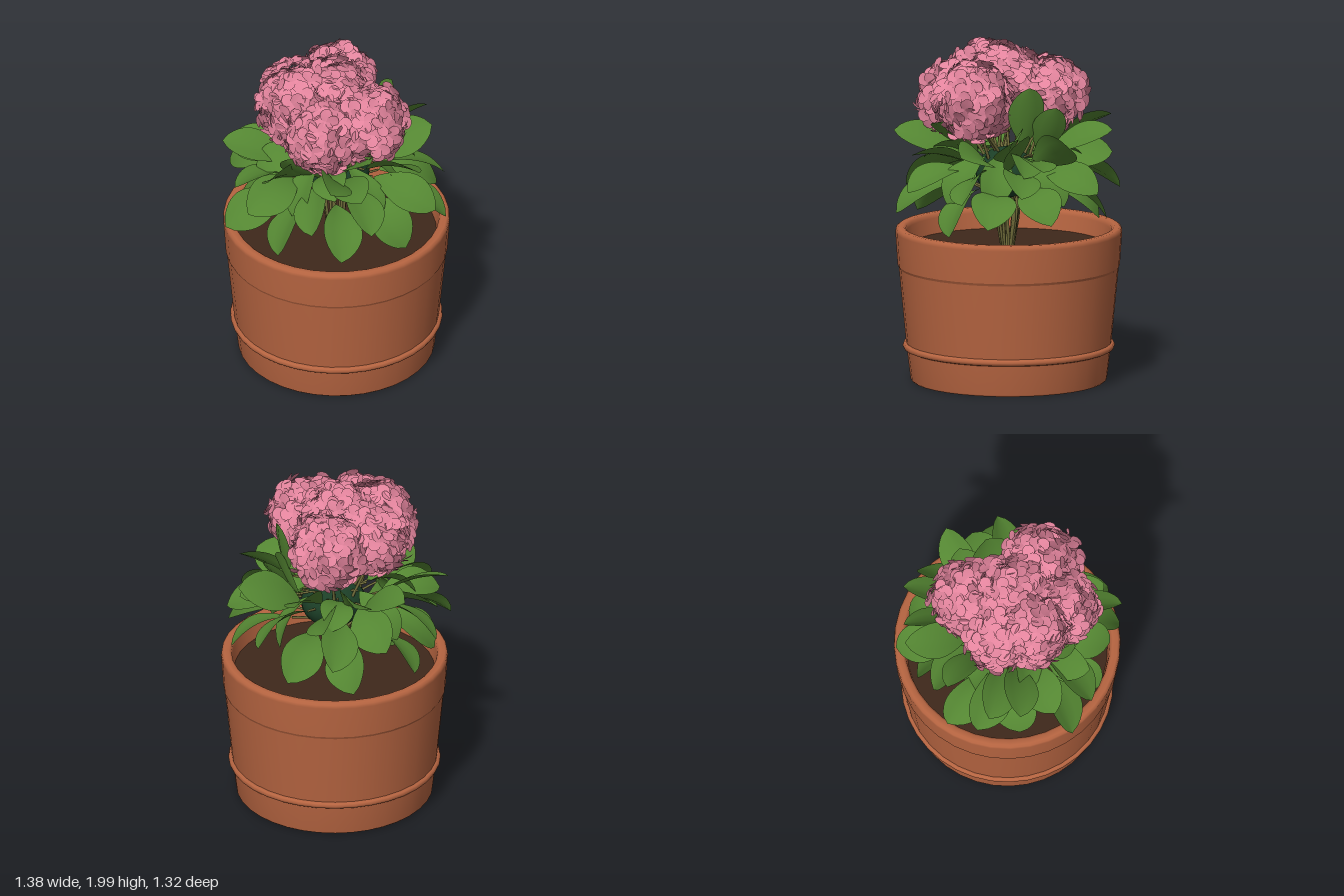
import * as THREE from 'three';
import { mergeGeometries } from 'three/addons/utils/BufferGeometryUtils.js';

const V = (x, y, z) => new THREE.Vector3(x, y, z);

function mat(name, color, double = false) {
  const m = new THREE.MeshStandardMaterial({ color });
  m.name = name;
  if (double) m.side = THREE.DoubleSide;
  return m;
}

// Small seeded generator, 0..1
function seeded(seed) {
  return () => {
    seed = (seed * 1664525 + 1013904223) % 4294967296;
    return seed / 4294967296;
  };
}

// Grid surface from a rule f(u, v), u along, v across -1..1
function surface(nu, nv, f) {
  const pos = [], idx = [];
  for (let i = 0; i <= nu; i++) {
    for (let j = 0; j <= nv; j++) pos.push(...f(i / nu, (j / nv) * 2 - 1).toArray());
  }
  for (let i = 0; i < nu; i++) {
    for (let j = 0; j < nv; j++) {
      const a = i * (nv + 1) + j, b = a + nv + 1;
      idx.push(a, a + 1, b, b, a + 1, b + 1);
    }
  }
  const g = new THREE.BufferGeometry();
  g.setAttribute('position', new THREE.Float32BufferAttribute(pos, 3));
  g.setIndex(idx);
  g.computeVertexNormals();
  return g;
}

// Leaf blade from base to tip, broadest past the middle, arched and lightly folded
function leafGeometry(base, tip, width, roll, arch) {
  const dir = tip.clone().sub(base), len = dir.length();
  dir.normalize();
  const out = V(tip.x, 0, tip.z).normalize();
  const side = V(out.z, 0, -out.x).applyAxisAngle(dir, roll);
  const up = dir.clone().cross(side).normalize();
  return surface(16, 4, (u, v) => {
    const bulge = Math.max(0, Math.sin(Math.PI * Math.pow(u, 1.35)));
    const w = width * 0.5 * Math.pow(bulge, 0.66);
    const lift = arch * len * 4 * u * (1 - u) + Math.abs(v) * w * 0.2;
    return base.clone().addScaledVector(dir, u * len)
      .addScaledVector(side, v * w).addScaledVector(up, lift);
  });
}

// Four broad petals lying in xy and facing +z
function floretGeometry() {
  const petals = [];
  for (let k = 0; k < 4; k++) {
    const g = new THREE.CircleGeometry(0.038, 10);
    const p = g.attributes.position;
    for (let i = 0; i < p.count; i++) {
      const x = p.getX(i) + 0.038, y = p.getY(i);
      p.setXYZ(i, x, y, 0.008 - x * x * 1.5 + y * y * 2.5 + y * 0.2);
    }
    g.computeVertexNormals();
    petals.push(g.rotateZ((k * Math.PI) / 2));
  }
  return mergeGeometries(petals);
}

export function createModel() {
  const root = new THREE.Group();
  const terracotta = mat('terracotta', 0xb76541);
  const soilMat = mat('soil brown', 0x3f281b);
  const leafMat = mat('leaf green', 0x548632, true);
  const coreMat = mat('deep green', 0x1c3f27);
  const stemMat = mat('stem olive', 0x736f3c);
  const petalMat = mat('petal pink', 0xe3849d, true);
  const rnd = seeded(17);
  const add = (name, geo, m, x = 0, y = 0, z = 0) => {
    const mesh = new THREE.Mesh(geo, m);
    mesh.name = name;
    mesh.position.set(x, y, z);
    root.add(mesh);
  };

  // Pot, offset slightly so the whole plant is centred
  const cx = 0.03;
  const profile = [
    [0, 0.005], [0.56, 0.005], [0.57, 0.015], [0.594, 0.21], [0.638, 0.67], [0.64, 0.675],
    [0.645, 0.685], [0.658, 0.88], [0.655, 0.9], [0.642, 0.91], [0.612, 0.91], [0.598, 0.9],
    [0.594, 0.88], [0.575, 0.74],
  ].map(([r, y]) => new THREE.Vector2(r, y));
  // Each profile span is its own lathe where the edge should stay crisp
  const spans = [[0, 1], [1, 4], [4, 6], [6, 13]];
  const pot = mergeGeometries(spans.map(([a, b]) =>
    new THREE.LatheGeometry(profile.slice(a, b + 1), 36)));
  add('pot', pot, terracotta, cx);
  add('potBand', new THREE.TorusGeometry(0.596, 0.02, 8, 36).rotateX(Math.PI / 2),
    terracotta, cx, 0.21, 0);
  add('soil', new THREE.CircleGeometry(0.585, 36).rotateX(-Math.PI / 2), soilMat, cx, 0.79, 0);

  // Flower heads: x, y, z, radius
  const heads = [
    [0.0, 1.75, 0.01, 0.21],
    [-0.225, 1.735, 0.0, 0.21],
    [-0.16, 1.7, -0.16, 0.19],
    [-0.18, 1.66, 0.23, 0.2],
    [0.1, 1.68, 0.27, 0.21],
    [0.135, 1.69, -0.2, 0.2],
  ];

  // Stems fanning up from the soil to the heads
  const stems = [];
  heads.forEach(([x, y, z], i) => {
    for (let k = 0; k < 3; k++) {
      const a = i * 1.05 + k * 2.1 + i * k * 0.35;
      const c = Math.cos(a), s = Math.sin(a);
      const path = new THREE.CatmullRomCurve3([
        V(0.015 + c * 0.03, 0.77, s * 0.03),
        V(0.015 + c * 0.07, 1.08, s * 0.07),
        V(x * 0.45 + c * 0.04, 1.36, z * 0.45 + s * 0.04),
        V(x, y - 0.1, z),
      ]);
      stems.push(new THREE.TubeGeometry(path, 10, 0.009, 6));
    }
  });

  // Dense inner foliage
  add('innerFoliage', new THREE.SphereGeometry(0.19, 20, 14).scale(1, 0.78, 0.9),
    coreMat, 0.03, 1.23, 0.02);

  // Leaf tips in four tiers: x, y, z
  const lower = [
    [-0.69, 1.03, 0.0], [-0.5, 0.95, 0.3], [-0.24, 1.0, 0.6], [0.22, 0.92, 0.52],
    [0.52, 1.0, 0.44], [0.64, 1.01, 0.08], [0.47, 0.98, -0.4], [0.12, 0.92, -0.56],
    [-0.25, 1.0, -0.58], [-0.5, 0.95, -0.24],
  ];
  const middle = [
    [-0.63, 1.2, 0.17], [-0.36, 1.14, 0.46], [-0.06, 1.15, 0.63], [0.4, 1.14, 0.54],
    [0.6, 1.18, 0.26], [0.6, 1.16, -0.26], [0.27, 1.12, -0.61], [-0.08, 1.16, -0.57],
    [-0.42, 1.14, -0.48], [-0.6, 1.24, -0.06],
  ];
  const upper = [
    [-0.57, 1.43, -0.28], [-0.53, 1.42, 0.22], [-0.3, 1.48, 0.58], [0.0, 1.56, 0.5],
    [0.32, 1.4, 0.5], [0.53, 1.52, 0.24], [0.64, 1.46, -0.04], [0.45, 1.5, -0.45],
    [0.14, 1.53, -0.63], [-0.2, 1.46, -0.55], [-0.45, 1.32, -0.42], [-0.1, 1.36, 0.58],
    [0.58, 1.32, 0.1], [0.3, 1.34, -0.54],
  ];
  const inner = [
    [0.06, 1.06, 0.42], [-0.34, 1.1, 0.24], [-0.42, 1.28, -0.14], [-0.2, 1.08, -0.36],
    [0.2, 1.28, -0.42], [0.42, 1.07, -0.14], [0.46, 1.27, 0.16], [-0.2, 1.32, 0.44],
    [0.3, 1.08, 0.3],
  ];
  const tiers = [
    { name: 'lowerLeaves', tips: lower, inner: 0.44, y: 1.16, width: 0.25, arch: 0.15, roll: 1.0 },
    { name: 'middleLeaves', tips: middle, inner: 0.4, y: 1.28, width: 0.24, arch: 0.13, roll: 1.1 },
    { name: 'upperLeaves', tips: upper, inner: 0.38, y: 1.31, width: 0.23, arch: 0.08, roll: 1.3 },
    { name: 'innerLeaves', tips: inner, inner: 0.36, y: 1.33, width: 0.21, arch: 0.18, roll: 1.0 },
  ];
  const petiole = (base) => {
    const path = new THREE.CatmullRomCurve3([
      V(0.02 + base.x * 0.15, base.y - 0.12, base.z * 0.15),
      V(base.x * 0.6, base.y - 0.02, base.z * 0.6),
      base,
    ]);
    stems.push(new THREE.TubeGeometry(path, 6, 0.007, 5));
  };
  for (const t of tiers) {
    const blades = t.tips.map(([x, y, z], i) => {
      const base = V(x * t.inner, t.y + (rnd() - 0.5) * 0.06, z * t.inner);
      petiole(base);
      const roll = (i % 2 ? 1 : -1) * t.roll * (0.15 + rnd() * 0.5);
      return leafGeometry(base, V(x, y, z), t.width * (0.92 + rnd() * 0.16), roll, t.arch);
    });
    add(t.name, mergeGeometries(blades), leafMat);
  }

  // Upright leaves beside the heads
  const upright = [
    [V(0.3, 1.42, 0.06), V(0.36, 1.78, 0.06), 0.24, 0.15],
    [V(0.27, 1.36, -0.06), V(0.43, 1.66, -0.08), 0.2, -0.5],
    [V(0.22, 1.26, 0.12), V(0.42, 1.5, 0.13), 0.2, 0.6],
    [V(-0.14, 1.28, 0.12), V(-0.4, 1.53, 0.2), 0.2, 0.6],
  ].map(([b, t, w, r]) => {
    petiole(b);
    return leafGeometry(b, t, w, r, -0.03);
  });
  add('uprightLeaves', mergeGeometries(upright), leafMat);
  add('stems', mergeGeometries(stems), stemMat);

  // Florets spread evenly over each head, leaving out those buried in a neighbour
  const floret = floretGeometry();
  const golden = Math.PI * (3 - Math.sqrt(5));
  heads.forEach(([x, y, z, r], h) => {
    const parts = [new THREE.SphereGeometry(r * 0.82, 16, 12).translate(x, y, z)];
    const n = 72;
    for (let i = 0; i < n; i++) {
      const ny = 1 - (2 * (i + 0.5)) / n, rr = Math.sqrt(1 - ny * ny);
      const normal = V(Math.cos(i * golden) * rr, ny, Math.sin(i * golden) * rr);
      const p = V(x, y, z).addScaledVector(normal, r * (0.94 + rnd() * 0.12));
      const buried = heads.some((o, k) => k !== h && p.distanceTo(V(o[0], o[1], o[2])) < o[3] * 0.86);
      const tilt = V(rnd() - 0.5, rnd() - 0.5, rnd() - 0.5).multiplyScalar(1.05);
      const spin = rnd() * Math.PI;
      if (buried) continue;
      const q = new THREE.Quaternion().setFromUnitVectors(V(0, 0, 1), normal.add(tilt).normalize());
      q.multiply(new THREE.Quaternion().setFromAxisAngle(V(0, 0, 1), spin));
      parts.push(floret.clone().applyMatrix4(new THREE.Matrix4().compose(p, q, V(1, 1, 1))));
    }
    add('flowerHead' + (h + 1), mergeGeometries(parts), petalMat);
  });

  return root;
}
